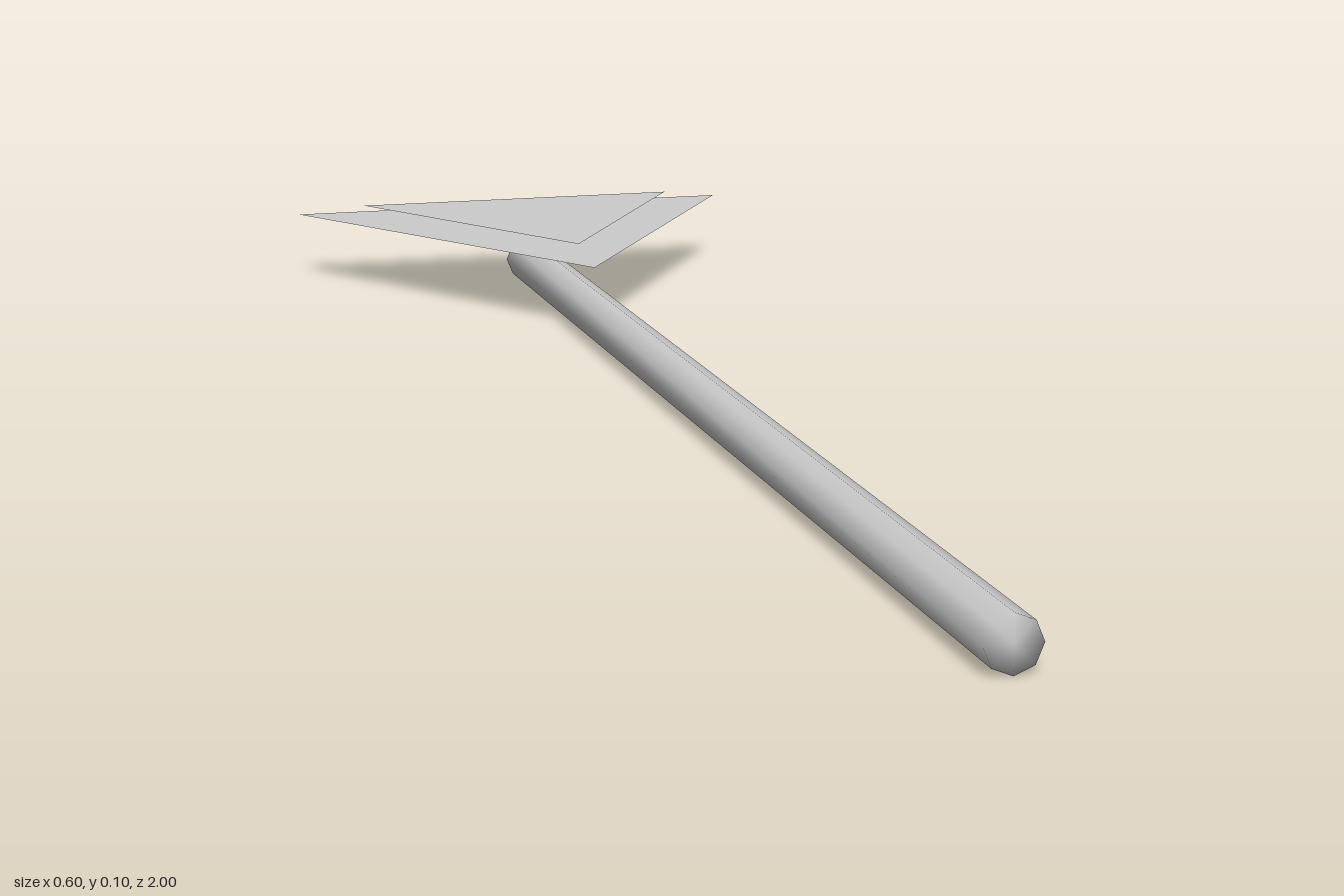
import * as THREE from 'three';
import { mergeVertices } from 'three/addons/utils/BufferGeometryUtils.js';

export function createModel() {
  const group = new THREE.Group();
  const grey = new THREE.MeshStandardMaterial({ color: 0xcccccc });
  grey.name = 'grey metal';
  grey.side = THREE.DoubleSide;

  // Eight-sided pole lying along z, with normals shared between sides and caps
  const radius = 0.029, front = 1, back = -0.89;
  let poleGeo = new THREE.CylinderGeometry(radius, radius, front - back, 8);
  poleGeo.deleteAttribute('normal');
  poleGeo.deleteAttribute('uv');
  poleGeo = mergeVertices(poleGeo, 1e-4);
  poleGeo.computeVertexNormals();
  poleGeo.rotateX(Math.PI / 2);
  const pole = new THREE.Mesh(poleGeo, grey);
  pole.name = 'pole';
  pole.position.set(0, radius + 0.001, (front + back) / 2);
  group.add(pole);

  // Flat triangular plate facing up, its tip pointing along the pole
  function triangle(name, halfWidth, zBase, zTip, y) {
    const shape = new THREE.Shape([
      new THREE.Vector2(-halfWidth, -zBase),
      new THREE.Vector2(0, -zTip),
      new THREE.Vector2(halfWidth, -zBase),
    ]);
    const geo = new THREE.ShapeGeometry(shape);
    geo.rotateX(-Math.PI / 2);
    const mesh = new THREE.Mesh(geo, grey);
    mesh.name = name;
    mesh.position.y = y;
    group.add(mesh);
  }
  triangle('signPlate', 0.302, -1, -0.5, 0.088);
  triangle('signInnerPanel', 0.217, -0.955, -0.585, 0.104);

  return group;
}
